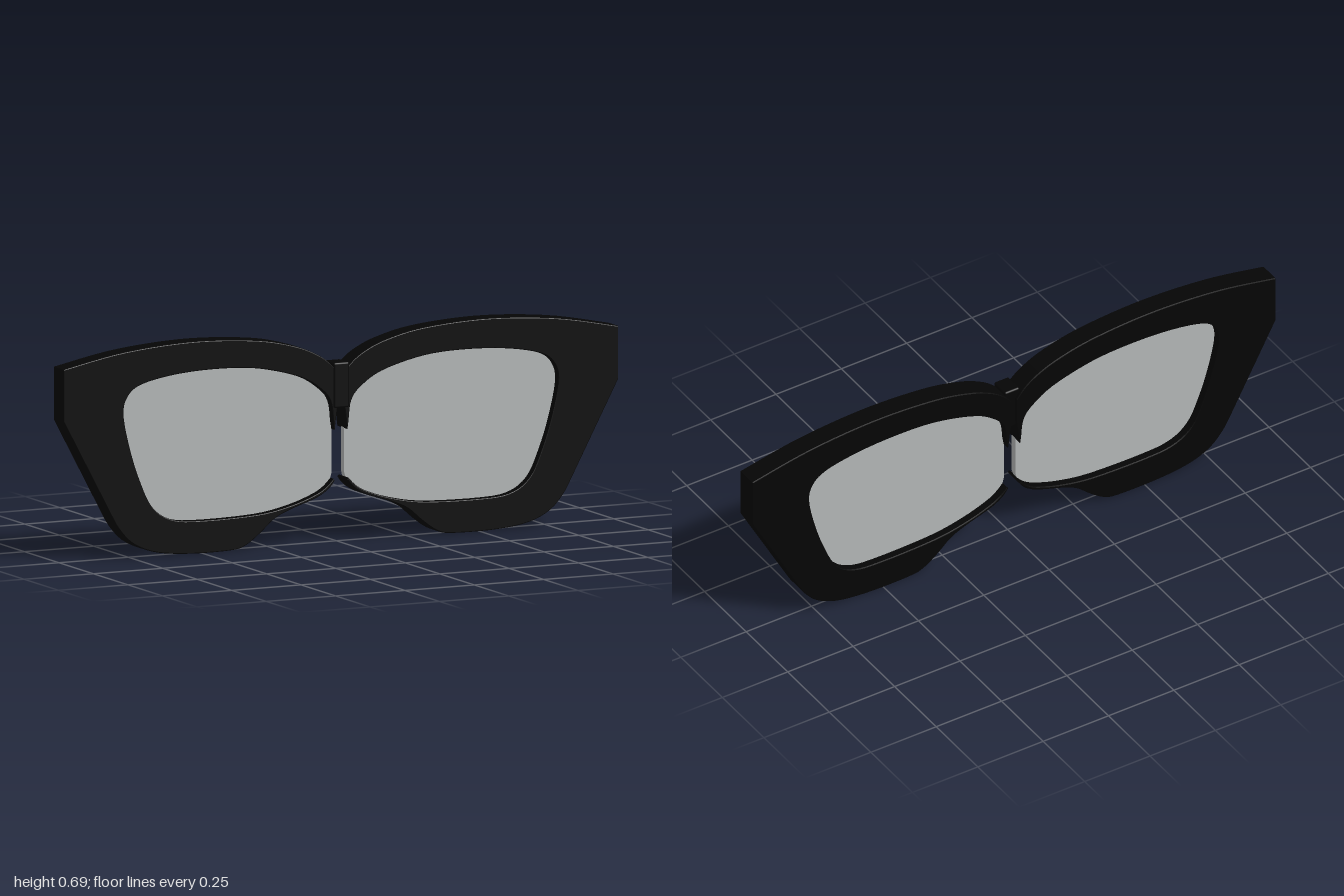
import * as THREE from 'three';
import { RoundedBoxGeometry } from 'three/addons/geometries/RoundedBoxGeometry.js';

// smooth points through a list of [x, y] pairs, mirrored by side
function smooth(pairs, side, divisions) {
  const pts = pairs.map(([x, y]) => new THREE.Vector2(x * side, y));
  return new THREE.SplineCurve(pts).getPoints(divisions);
}

// bevelled slab between two z values that keeps the outline's size
function slab(points, zBack, zFront, bevel) {
  const geo = new THREE.ExtrudeGeometry(new THREE.Shape(points), {
    depth: zFront - zBack - 2 * bevel,
    bevelEnabled: bevel > 0, bevelThickness: bevel, bevelSize: bevel, bevelOffset: -bevel, bevelSegments: 2,
  });
  geo.translate(0, 0, zBack + bevel);
  return geo;
}

// outline of one half, from the bridge over the brow to the temple corner
const brow = [[0.01, 0.555], [0.035, 0.585], [0.08, 0.618], [0.16, 0.652], [0.3, 0.682],
  [0.53, 0.695], [0.78, 0.678], [1.0, 0.637]];
// from the lower temple corner around the cheek to the thin nose tip
const cheek = [[0.83, 0.15], [0.8, 0.1], [0.75, 0.05], [0.67, 0.017], [0.55, 0.003], [0.4, 0.003],
  [0.345, 0.015], [0.29, 0.053], [0.24, 0.095], [0.18, 0.122], [0.09, 0.152], [0.045, 0.178], [0.022, 0.205]];
// lens edge from the lower nose tip, round the outside, to the upper nose tip
const rim = [[0.027, 0.211], [0.055, 0.184], [0.095, 0.162], [0.18, 0.134], [0.3, 0.113], [0.5, 0.108],
  [0.61, 0.119], [0.68, 0.165], [0.725, 0.255], [0.76, 0.36], [0.783, 0.47], [0.77, 0.53], [0.72, 0.568],
  [0.6, 0.592], [0.45, 0.6], [0.3, 0.591], [0.15, 0.553], [0.07, 0.505], [0.037, 0.462], [0.028, 0.4]];

export function createModel() {
  const frameBlack = new THREE.MeshStandardMaterial({ color: 0x050505 });
  frameBlack.name = 'frameBlack';
  const lensGrey = new THREE.MeshStandardMaterial({ color: 0xb3b6b6 });
  lensGrey.name = 'lensGrey';

  const model = new THREE.Group();
  model.name = 'glassesFront';
  const add = (geo, material, name) => {
    const mesh = new THREE.Mesh(geo, material);
    mesh.name = name;
    model.add(mesh);
    return mesh;
  };

  for (const [side, label] of [[1, 'left'], [-1, 'right']]) {
    const v = (x, y) => new THREE.Vector2(x * side, y);
    const rimPoints = smooth(rim, side, 90);

    // frame half, open on the nose side
    const outline = [
      ...smooth(brow, side, 40), v(1.0, 0.465),
      ...smooth(cheek, side, 50),
      ...rimPoints,
      v(0.023, 0.37), v(0.016, 0.42), v(0.01, 0.46),
    ];
    add(slab(outline, -0.04, 0.035, 0.003), frameBlack, label + 'Frame');

    // thin lens set midway into the depth of the frame
    const lensOutline = [...rimPoints, v(0.022, 0.37), v(0.022, 0.23)];
    add(slab(lensOutline, -0.012, 0.01, 0), lensGrey, label + 'Lens');
  }

  // bridge joining the two halves
  const bridge = add(new RoundedBoxGeometry(0.056, 0.148, 0.07, 2, 0.006), frameBlack, 'bridge');
  bridge.position.set(0, 0.516, 0.005);

  return model;
}
